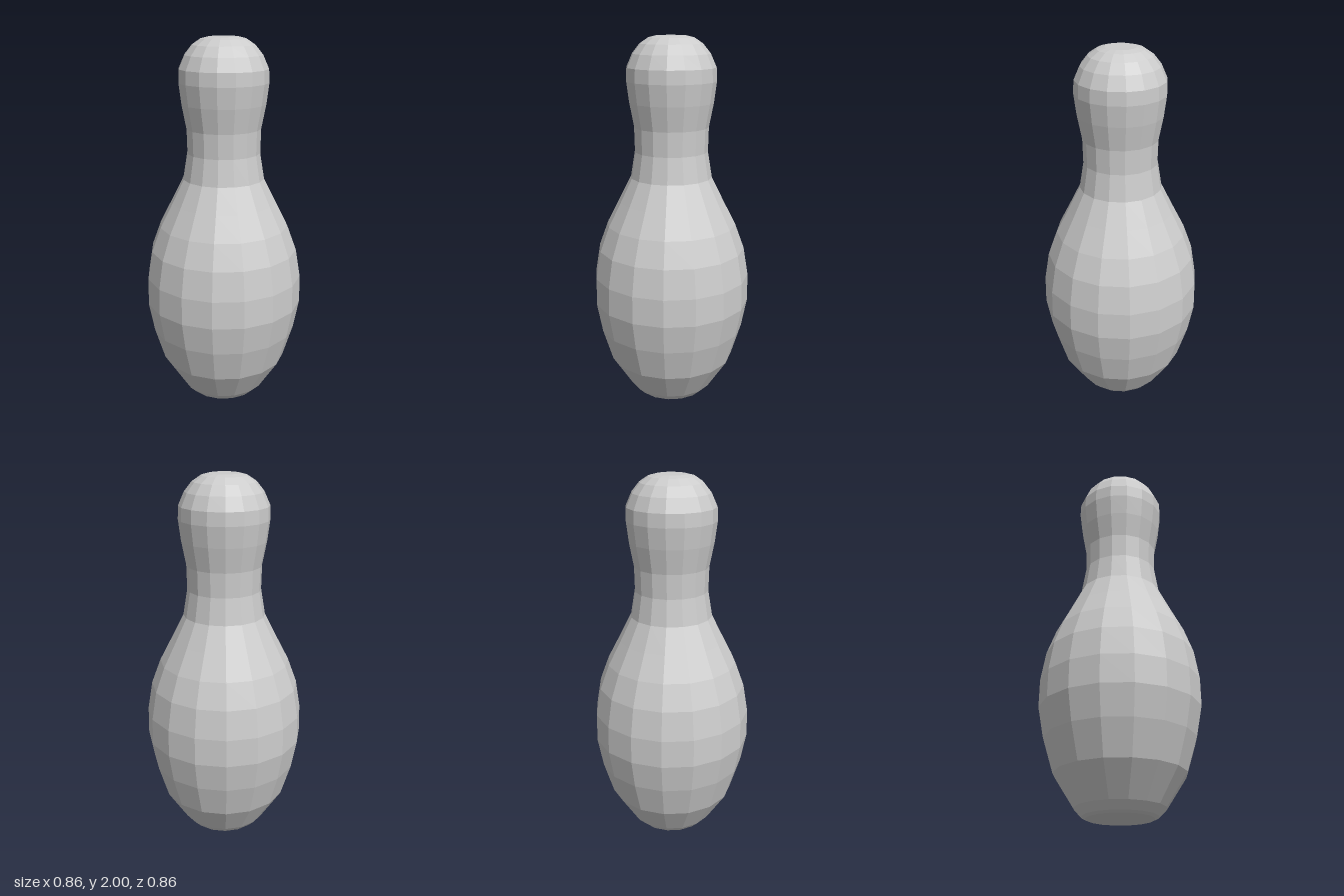
import * as THREE from 'three';

export function createModel() {
  const group = new THREE.Group();
  group.name = 'bowlingPin';

  const paint = new THREE.MeshStandardMaterial({ color: 0xcccccc, flatShading: true });
  paint.name = 'pale grey';

  // Half profile as [radius, height], from base centre to crown centre
  const profile = [
    [0, 0], [0.175, 0], [0.195, 0.01], [0.235, 0.05],            // base
    [0.345, 0.22], [0.4, 0.4], [0.43, 0.56], [0.428, 0.71],      // belly
    [0.402, 0.865], [0.352, 1.0], [0.285, 1.13], [0.22, 1.26],   // shoulder
    [0.197, 1.4], [0.2, 1.53],                                   // neck
    [0.225, 1.66], [0.239, 1.77], [0.236, 1.84],                 // head
    [0.205, 1.91], [0.165, 1.96], [0.12, 1.99], [0.08, 2], [0, 2],
  ].map(([r, y]) => new THREE.Vector2(r, y));

  // Sixteen-sided faceted body
  const geometry = new THREE.LatheGeometry(profile, 16).toNonIndexed();
  geometry.computeVertexNormals();
  const body = new THREE.Mesh(geometry, paint);
  body.name = 'pinBody';
  group.add(body);

  return group;
}
